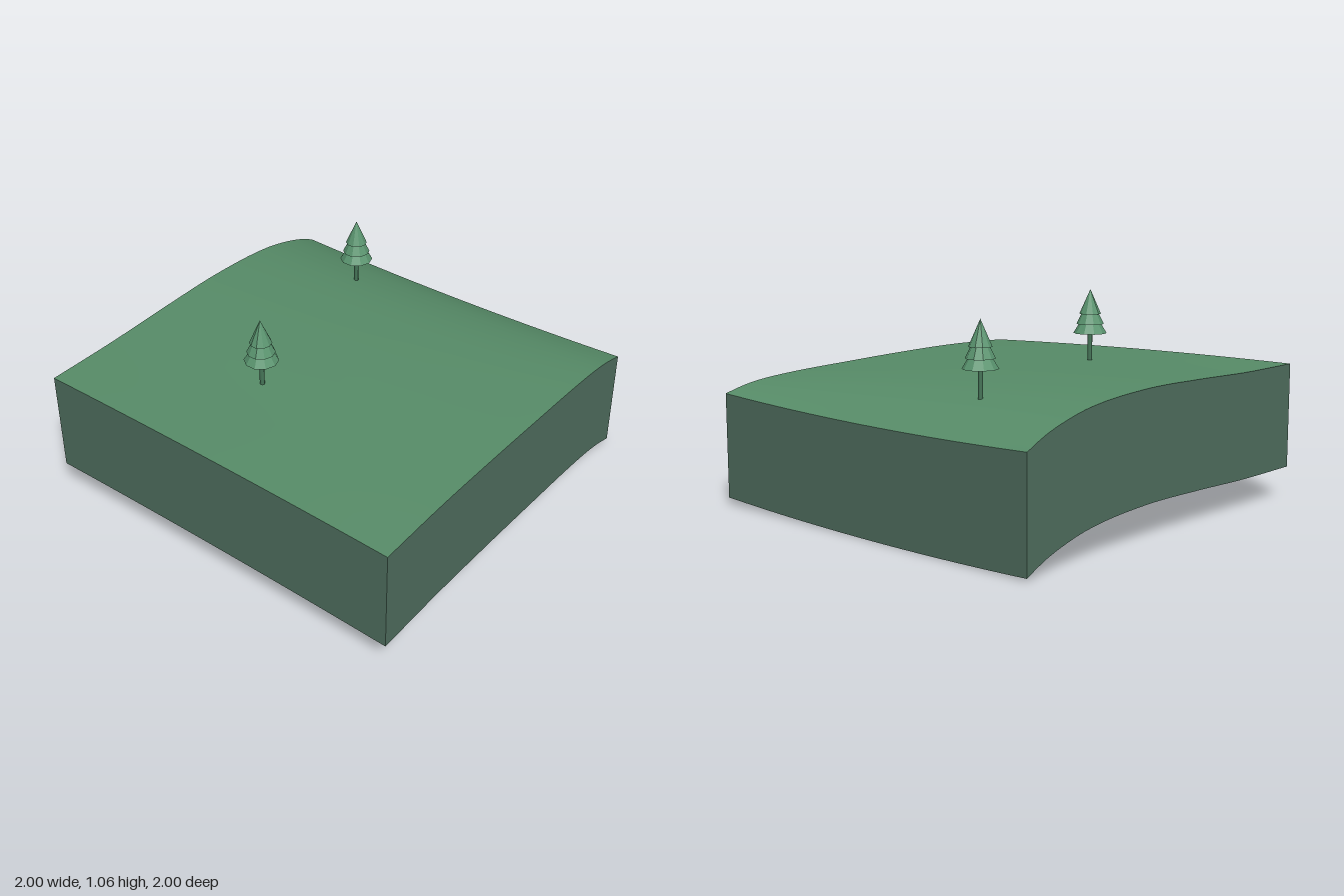
import * as THREE from 'three';

const grass = new THREE.MeshStandardMaterial({ color: 0x578c68, side: THREE.DoubleSide });
grass.name = 'grassGreen';
const earth = new THREE.MeshStandardMaterial({ color: 0x4f6e5e, side: THREE.DoubleSide });
earth.name = 'earthGreyGreen';
const needles = new THREE.MeshStandardMaterial({ color: 0x5a946f, flatShading: true });
needles.name = 'needleGreen';
const bark = new THREE.MeshStandardMaterial({ color: 0x467558 });
bark.name = 'barkDarkGreen';

const SEG = 32;
const SKIRT = 0.53;

// Ground height profiles along x for the back, middle and front
const knots = [-1, -0.6, -0.2, 0.2, 0.6, 0.8, 0.9, 1];
const [back, middle, front] = [
  [0.7, 0.7, 0.711, 0.714, 0.681, 0.633, 0.598, 0.55],
  [0.69, 0.695, 0.702, 0.698, 0.665, 0.621, 0.587, 0.538],
  [0.655, 0.665, 0.66, 0.648, 0.632, 0.615, 0.597, 0.57],
].map((ys) => new THREE.CubicInterpolant(knots, ys, 1, [0]));

function groundHeight(x, z) {
  const b = back.evaluate(x)[0];
  const m = middle.evaluate(x)[0];
  const f = front.evaluate(x)[0];
  return m + ((f - b) / 2) * z + ((f + b) / 2 - m) * z * z;
}

// Curved top surface
function makeGround() {
  const geo = new THREE.PlaneGeometry(2, 2, SEG, SEG).rotateX(-Math.PI / 2);
  const p = geo.attributes.position;
  for (let i = 0; i < p.count; i++) p.setY(i, groundHeight(p.getX(i), p.getZ(i)));
  geo.computeVertexNormals();
  const mesh = new THREE.Mesh(geo, grass);
  mesh.name = 'ground';
  return mesh;
}

// Side wall hanging below one ground edge, turned to face outwards
function makeWall(name, angle) {
  const geo = new THREE.PlaneGeometry(2, SKIRT, SEG, 1);
  geo.translate(0, -SKIRT / 2, 1).rotateY(angle);
  const p = geo.attributes.position;
  for (let i = 0; i < p.count; i++) {
    const x = THREE.MathUtils.clamp(p.getX(i), -1, 1);
    const z = THREE.MathUtils.clamp(p.getZ(i), -1, 1);
    p.setY(i, p.getY(i) + groundHeight(x, z));
  }
  const mesh = new THREE.Mesh(geo, earth);
  mesh.name = name;
  return mesh;
}

// Conifer with a thin trunk and three stacked cones
function makeTree(name, x, y, z) {
  const tree = new THREE.Group();
  tree.name = name;
  const trunk = new THREE.Mesh(new THREE.CylinderGeometry(0.012, 0.012, 0.16, 8), bark);
  trunk.name = 'trunk';
  trunk.position.y = 0.08;
  tree.add(trunk);
  const tiers = [[0.085, 0.143, 0.14], [0.07, 0.19, 0.14], [0.055, 0.242, 0.125]];
  tiers.forEach(([radius, base, height], i) => {
    const cone = new THREE.Mesh(new THREE.ConeGeometry(radius, height, 10), needles);
    cone.name = `foliageTier${i + 1}`;
    cone.position.y = base + height / 2;
    tree.add(cone);
  });
  tree.position.set(x, y, z);
  return tree;
}

export function createModel() {
  const model = new THREE.Group();
  model.name = 'hillTile';
  model.add(makeGround());
  ['frontWall', 'leftWall', 'backWall', 'rightWall'].forEach((name, i) => {
    model.add(makeWall(name, (i * Math.PI) / 2));
  });
  model.add(makeTree('westTree', -0.42, 0.698, -0.17));
  model.add(makeTree('eastTree', 0.66, 0.654, -0.42));
  return model;
}
